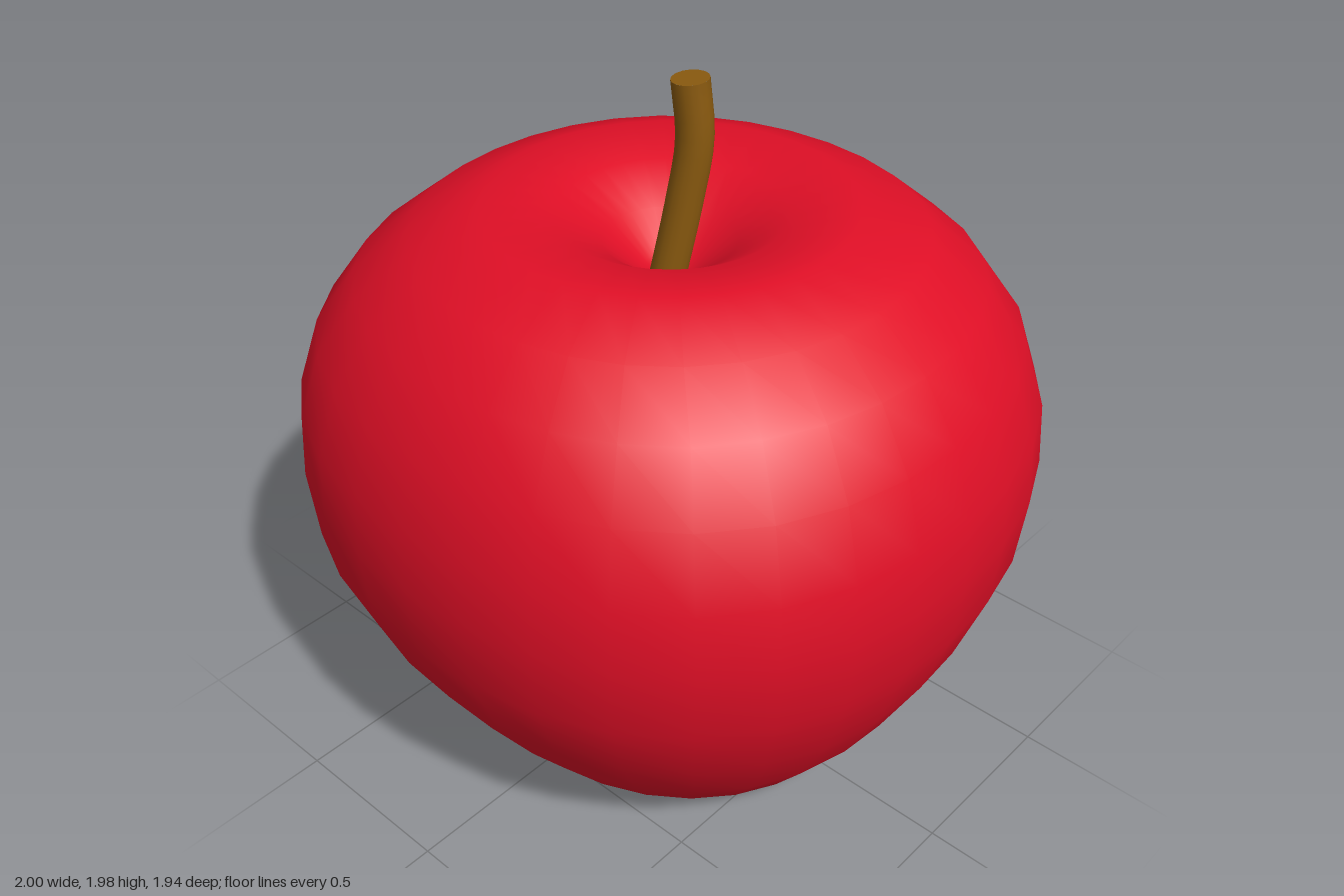
import * as THREE from 'three';
import { mergeVertices } from 'three/addons/utils/BufferGeometryUtils.js';

const red = new THREE.MeshStandardMaterial({ color: 0xe00f26 });
red.name = 'apple red';
const brown = new THREE.MeshStandardMaterial({ color: 0x8a5a0f });
brown.name = 'stem brown';

// Profile rings from the bottom dimple to the top dimple: [half width in x, height, half width in z]
const RINGS = [
  [0, 0.27, 0], [0.1, 0.25, 0.1], [0.21, 0.17, 0.2], [0.34, 0.06, 0.32],
  [0.485, 0, 0.445], [0.66, 0.1, 0.6], [0.79, 0.28, 0.735], [0.905, 0.5, 0.87],
  [0.98, 0.72, 0.955], [1, 0.93, 0.97], [0.985, 1.11, 0.96], [0.925, 1.3, 0.905],
  [0.82, 1.455, 0.805], [0.675, 1.57, 0.675], [0.495, 1.64, 0.495],
  [0.31, 1.61, 0.31], [0.18, 1.53, 0.18], [0.08, 1.44, 0.08], [0, 1.4, 0],
];

function makeFruit() {
  const segments = 32;
  const geo = new THREE.LatheGeometry(RINGS.map(([x, y]) => new THREE.Vector2(x, y)), segments);
  const pos = geo.attributes.position;
  // Stretch each ring to its own width and depth, swelling the diagonals at the belly
  for (let i = 0; i < pos.count; i++) {
    const [rx, y, rz] = RINGS[i % RINGS.length];
    const step = Math.floor(i / RINGS.length) % segments;
    const a = (step / segments) * Math.PI * 2;
    const swell = 1 + 0.045 * Math.max(0, (rx - 0.5) / 0.5) * Math.sin(2 * a) ** 2;
    pos.setXYZ(i, rx * Math.sin(a) * swell, y, rz * Math.cos(a) * swell);
  }
  // Weld the seam and poles so the shading is continuous
  geo.deleteAttribute('uv');
  geo.deleteAttribute('normal');
  const welded = mergeVertices(geo, 1e-5);
  welded.computeVertexNormals();
  const mesh = new THREE.Mesh(welded, red);
  mesh.name = 'fruit';
  return mesh;
}

function makeStem() {
  const radius = 0.05;
  const sides = 16;
  const curve = new THREE.CatmullRomCurve3([
    new THREE.Vector3(-0.01, 1.38, 0.01),
    new THREE.Vector3(0.03, 1.64, -0.022),
    new THREE.Vector3(0.052, 1.82, -0.036),
    new THREE.Vector3(0.044, 1.981, -0.026),
  ]);
  const stem = new THREE.Group();
  stem.name = 'stem';
  const shaft = new THREE.Mesh(new THREE.TubeGeometry(curve, 12, radius, sides), brown);
  shaft.name = 'stemShaft';
  // Flat cut end, square to the shaft
  const cap = new THREE.Mesh(new THREE.CircleGeometry(radius, sides), brown);
  cap.name = 'stemEnd';
  cap.position.copy(curve.getPoint(1));
  cap.quaternion.setFromUnitVectors(new THREE.Vector3(0, 0, 1), curve.getTangent(1));
  stem.add(shaft, cap);
  return stem;
}

export function createModel() {
  const apple = new THREE.Group();
  apple.name = 'apple';
  apple.add(makeFruit(), makeStem());
  return apple;
}
